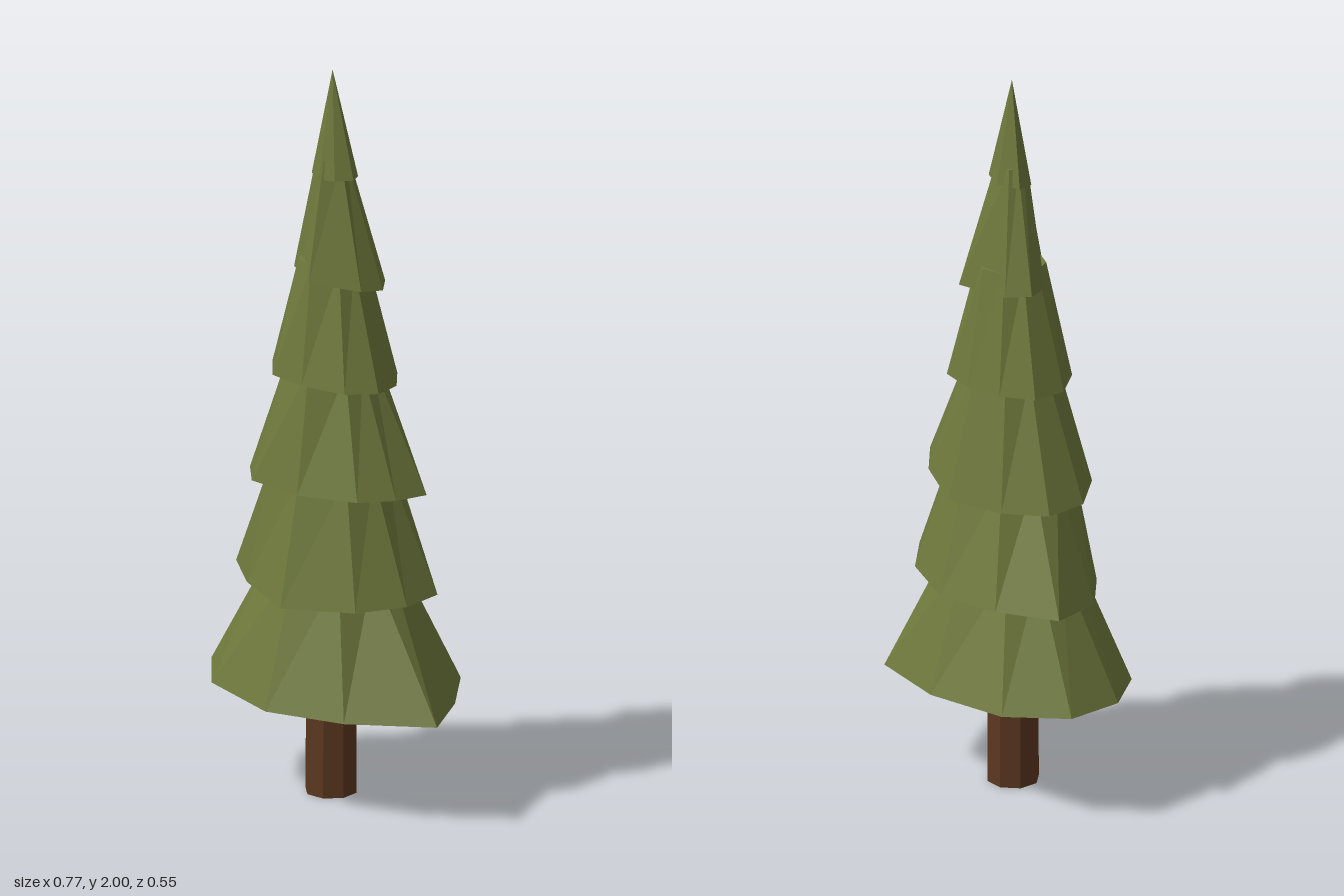
import * as THREE from 'three';

const AXIS = { x: -0.03, z: -0.005 };

// Each tier: uneven rim outline [x, z], rim height with a slight tilt, and a round top ring.
const TIERS = [
  { y: 0.303, tilt: [-0.03, -0.03], top: 0.66, radius: 0.165,
    rim: [[-0.388, -0.09], [-0.265, -0.225], [-0.03, -0.276], [0.21, -0.24], [0.315, -0.09],
      [0.387, 0.07], [0.185, 0.208], [-0.027, 0.273], [-0.265, 0.208], [-0.375, 0.075]] },
  { y: 0.587, tilt: [0, -0.03], top: 0.92, radius: 0.16,
    rim: [[-0.355, -0.105], [-0.21, -0.203], [-0.04, -0.253], [0.148, -0.187], [0.264, -0.08],
      [0.258, 0.038], [0.18, 0.155], [0, 0.245], [-0.195, 0.147], [-0.32, 0.04]] },
  { y: 0.862, tilt: [0.03, 0.06], top: 1.2, radius: 0.12,
    rim: [[-0.27, -0.07], [-0.172, -0.153], [-0.022, -0.21], [0.15, -0.14], [0.242, -0.062],
      [0.219, 0.035], [0.157, 0.12], [-0.005, 0.17], [-0.184, 0.14], [-0.273, 0.04]] },
  { y: 1.155, tilt: [-0.02, 0.02], top: 1.48, radius: 0.09,
    rim: [[-0.202, -0.064], [-0.12, -0.118], [-0.016, -0.143], [0.086, -0.13], [0.15, -0.05],
      [0.158, 0.033], [0.098, 0.1], [-0.028, 0.125], [-0.138, 0.11], [-0.208, 0.027]] },
  { y: 1.425, tilt: [-0.06, 0.12], top: 1.76, radius: 0.042,
    rim: [[-0.154, -0.037], [-0.1, -0.083], [0.063, -0.108], [0.12, -0.03], [0.1, 0.035],
      [-0.02, 0.106], [-0.1, 0.045], [-0.144, 0.015]] },
  { y: 1.71, tilt: [0, -0.05], top: 2, radius: 0,
    rim: [[-0.088, -0.025], [-0.03, -0.053], [0.036, -0.03], [0.045, 0], [0.01, 0.035],
      [-0.034, 0.047], [-0.08, 0.02]] },
];

// Faceted skirt: sloping sides, shallow hollow underside and a closed top.
function tierGeometry({ y, tilt, top, radius, rim }) {
  const low = rim.map(([x, z]) => [x, y + tilt[0] * x + tilt[1] * z, z]);
  const high = rim.map(([x, z]) => {
    const angle = Math.atan2(z - AXIS.z, x - AXIS.x);
    return [AXIS.x + radius * Math.cos(angle), top, AXIS.z + radius * Math.sin(angle)];
  });
  const under = [AXIS.x, y + 0.03, AXIS.z];
  const cap = [AXIS.x, top, AXIS.z];
  const positions = [];
  const tri = (a, b, c) => positions.push(...a, ...b, ...c);
  for (let i = 0; i < rim.length; i++) {
    const j = (i + 1) % rim.length;
    tri(low[i], high[i], low[j]);
    if (radius > 0) {
      tri(low[j], high[i], high[j]);
      tri(high[i], cap, high[j]);
    }
    tri(low[i], low[j], under);
  }
  const geometry = new THREE.BufferGeometry();
  geometry.setAttribute('position', new THREE.Float32BufferAttribute(positions, 3));
  geometry.computeVertexNormals();
  return geometry;
}

export function createModel() {
  const tree = new THREE.Group();
  tree.name = 'pineTree';

  const bark = new THREE.MeshStandardMaterial({ color: 0x5c3820, flatShading: true });
  const needles = new THREE.MeshStandardMaterial({ color: 0x6f793c, flatShading: true });

  // Trunk
  const trunk = new THREE.Mesh(new THREE.CylinderGeometry(0.068, 0.07, 0.4, 8), bark);
  trunk.name = 'trunk';
  trunk.position.set(-0.035, 0.2, -0.005);
  trunk.rotation.y = Math.PI / 8;
  tree.add(trunk);

  // Foliage tiers, bottom to top
  const foliage = new THREE.Group();
  foliage.name = 'foliage';
  TIERS.forEach((tier, i) => {
    const mesh = new THREE.Mesh(tierGeometry(tier), needles);
    mesh.name = `foliageTier${i + 1}`;
    foliage.add(mesh);
  });
  tree.add(foliage);

  return tree;
}
